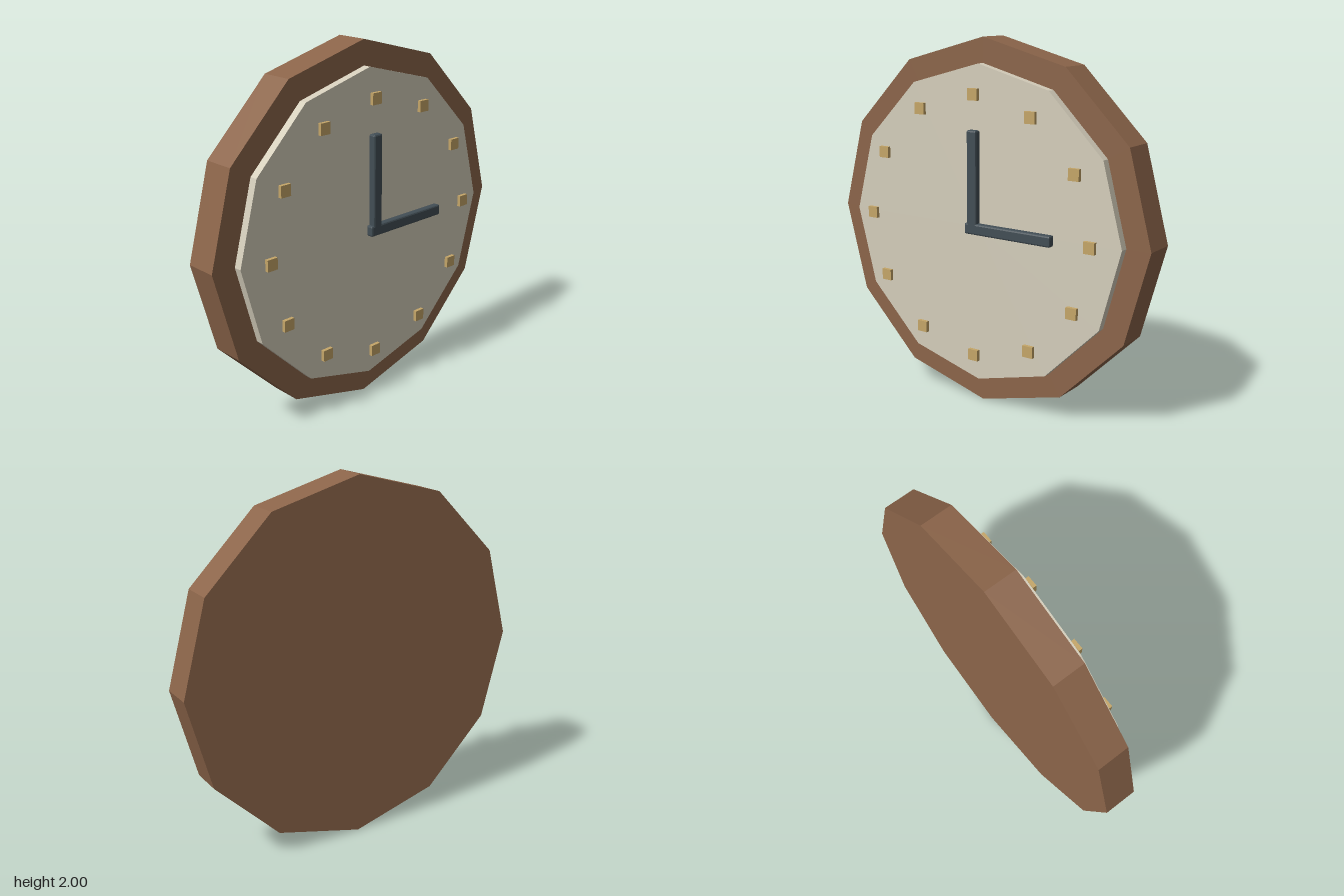
import * as THREE from 'three';
import { RoundedBoxGeometry } from 'three/addons/geometries/RoundedBoxGeometry.js';

function material(name, color) {
  const m = new THREE.MeshStandardMaterial({ color });
  m.name = name;
  return m;
}

// Give every facet its own normal
function faceted(geometry) {
  const g = geometry.index ? geometry.toNonIndexed() : geometry;
  g.computeVertexNormals();
  return g;
}

export function createModel() {
  const clock = new THREE.Group();
  clock.name = 'wallClock';

  const wood = material('brown wood', 0x8c654a);
  const cream = material('cream dial', 0xd5cebb);
  const brass = material('brass', 0xc5a668);
  const slate = material('dark slate', 0x424e55);

  function add(name, geometry, mat, x, y, z) {
    const mesh = new THREE.Mesh(faceted(geometry), mat);
    mesh.name = name;
    mesh.position.set(x, y, z);
    clock.add(mesh);
    return mesh;
  }

  // Twelve-sided disc with a corner at the top, from z0 to z1
  function disc(name, radius, z0, z1, mat) {
    const g = new THREE.CylinderGeometry(radius, radius, z1 - z0, 12);
    g.rotateX(Math.PI / 2);
    add(name, g, mat, 0, 1, (z0 + z1) / 2);
  }
  disc('case', 1, -0.145, 0.035, wood);
  disc('dial', 0.865, 0.0, 0.08, cream);

  // Upright hour markers, floating in front of the dial
  for (let i = 0; i < 12; i++) {
    const a = (i * Math.PI) / 6;
    add(`hourMarker${i || 12}`, new THREE.BoxGeometry(0.062, 0.062, 0.02), brass,
      0.71 * Math.sin(a), 1 + 0.71 * Math.cos(a), 0.124);
  }

  // Hands with chamfered edges
  const hand = (w, h) => new RoundedBoxGeometry(w, h, 0.042, 1, 0.009);
  add('hourHand', hand(0.06, 0.555), slate, 0, 1.2475, 0.124);
  add('minuteHand', hand(0.535, 0.06), slate, 0.2225, 1, 0.124);

  return clock;
}
